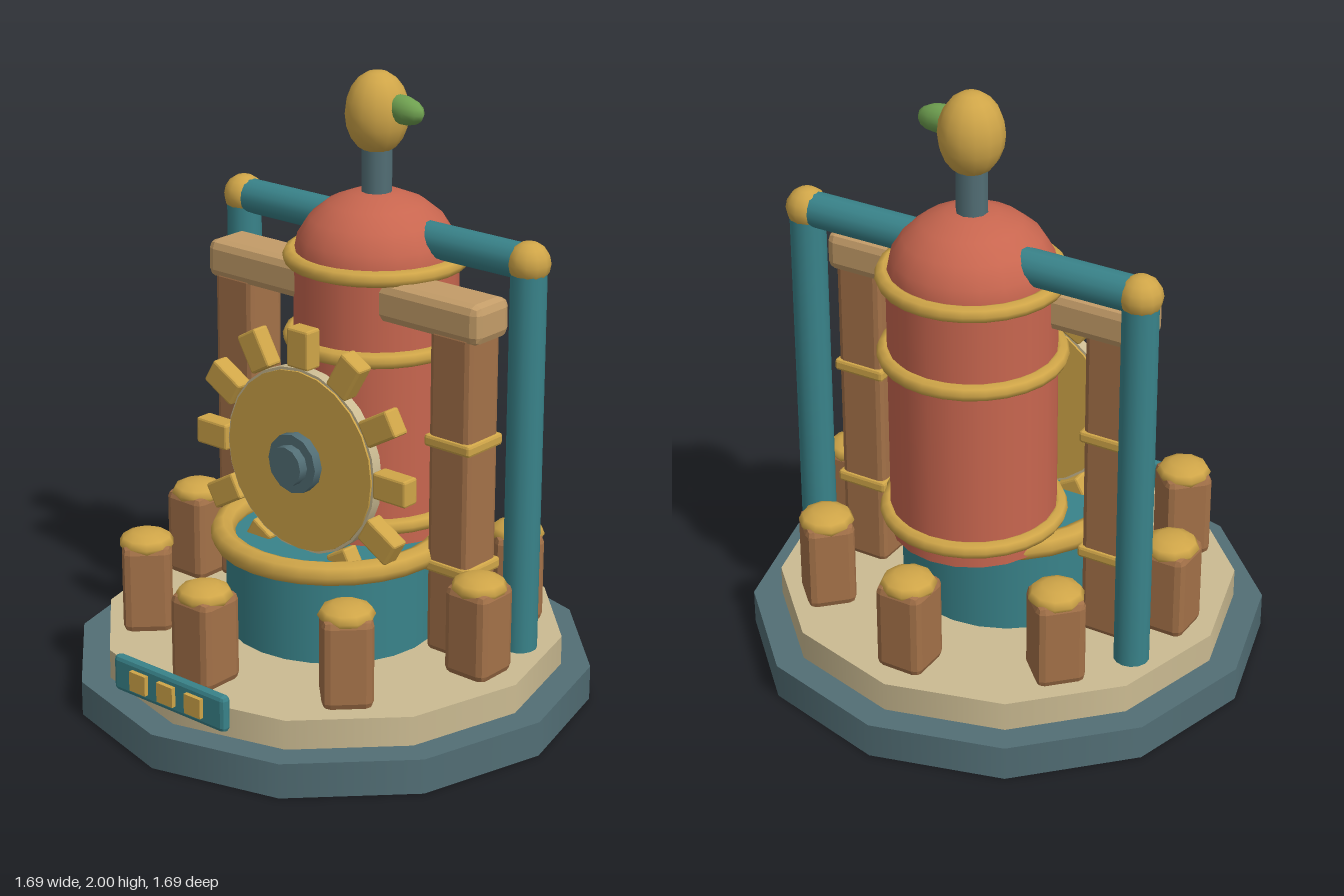
import * as THREE from 'three';
import { RoundedBoxGeometry } from 'three/addons/geometries/RoundedBoxGeometry.js';

const mat = (name, color) => {
  const m = new THREE.MeshStandardMaterial({ color });
  m.name = name;
  return m;
};

export function createModel() {
  const gold = mat('gold', 0xcfa548), beige = mat('beige', 0xcbbb92), steel = mat('steel', 0x526e75);
  const teal = mat('teal', 0x39838a), red = mat('red', 0xc8664f), wood = mat('wood', 0xa37148);
  const tan = mat('tan', 0xc39c68), green = mat('green', 0x6fa050);

  const model = new THREE.Group();
  model.name = 'boilerMachine';

  const add = (name, geo, material, x = 0, y = 0, z = 0, parent = model) => {
    const m = new THREE.Mesh(geo, material);
    m.name = name;
    m.position.set(x, y, z);
    parent.add(m);
    return m;
  };
  // Upright cylinder between two heights
  const column = (name, r, y0, y1, sides, material, x = 0, z = 0) =>
    add(name, new THREE.CylinderGeometry(r, r, y1 - y0, sides), material, x, (y0 + y1) / 2, z);
  // Box with chamfered edges and flat faces
  const block = (w, h, d, c) => {
    const g = new RoundedBoxGeometry(w, h, d, 1, c);
    g.computeVertexNormals();
    return g;
  };
  // Horizontal ring
  const ring = (name, R, t, y, z) => {
    const m = add(name, new THREE.TorusGeometry(R, t, 8, 28), gold, 0, y, z);
    m.rotation.x = Math.PI / 2;
    return m;
  };

  // Stepped base
  column('baseLower', 0.845, 0, 0.115, 12, steel);
  column('baseUpper', 0.75, 0.115, 0.212, 12, beige);

  // Drum with rim
  column('drum', 0.345, 0.21, 0.51, 24, teal);
  ring('drumRim', 0.355, 0.04, 0.525, 0);

  // Boiler with domed top and bands
  const bz = -0.21;
  column('boiler', 0.265, 0.51, 1.42, 20, red, 0, bz);
  const dome = add('boilerDome', new THREE.SphereGeometry(0.265, 20, 5, 0, Math.PI * 2, 0, Math.PI / 2), red, 0, 1.405, bz);
  dome.scale.y = 0.81;
  for (const y of [0.58, 1.14, 1.405]) ring('boilerBand', 0.272, 0.027, y, bz);

  // Chimney with bulb and spout
  column('chimney', 0.05, 1.58, 1.78, 10, steel, 0, bz);
  add('bulb', new THREE.SphereGeometry(0.103, 14, 10), gold, 0, 1.866, bz).scale.y = 1.3;
  const spout = add('spout', new THREE.SphereGeometry(0.048, 10, 8), green, 0.105, 1.89, bz);
  spout.scale.set(1.7, 0.95, 0.85);
  spout.rotation.z = -0.1;

  // Crossbeam, tall posts and pipe frame
  add('crossbeam', block(1.12, 0.13, 0.17, 0.03), tan, 0, 1.325, -0.1);
  const pz = -0.23, px = 0.588, py = 1.49;
  for (const s of [-1, 1]) {
    add('tallPost', block(0.16, 1.08, 0.155, 0.02), wood, s * 0.45, 0.75, -0.098);
    for (const y of [0.505, 0.922])
      add('postStrap', block(0.18, 0.04, 0.172, 0.01), gold, s * 0.45, y, -0.098);
    column('uprightPipe', 0.057, 0.21, py, 14, teal, s * px, pz);
    add('pipeJoint', new THREE.SphereGeometry(0.068, 12, 8), gold, s * px, py, pz);
  }
  const crossPipe = column('crossPipe', 0.057, 0, px * 2, 14, teal);
  crossPipe.position.set(0, py, pz);
  crossPipe.rotation.z = Math.PI / 2;

  // Ring of short posts with caps
  for (let i = 0; i < 8; i++) {
    const a = i * Math.PI / 4;
    const post = new THREE.Group();
    post.name = 'shortPost';
    post.position.set(Math.sin(a) * 0.6, 0, Math.cos(a) * 0.6);
    post.rotation.y = a;
    add('postShaft', block(0.16, 0.3, 0.16, 0.026), wood, 0, 0.36, 0, post);
    add('postCap', new THREE.SphereGeometry(0.09, 10, 6), gold, 0, 0.502, 0, post).scale.y = 0.46;
    model.add(post);
  }

  // Gear wheel facing forward
  const gear = new THREE.Group();
  gear.name = 'gear';
  gear.position.set(0, 0.81, 0.14);
  model.add(gear);
  const disc = (name, r, depth, sides, material) => {
    const m = add(name, new THREE.CylinderGeometry(r, r, depth, sides), material, 0, 0, 0, gear);
    m.rotation.x = Math.PI / 2;
  };
  disc('gearDisc', 0.298, 0.05, 24, gold);
  disc('gearRim', 0.307, 0.036, 24, beige);
  disc('gearHub', 0.098, 0.115, 12, steel);
  disc('gearAxle', 0.065, 0.18, 12, steel);
  for (let i = 0; i < 12; i++) {
    const a = i * Math.PI / 6;
    const tooth = add('gearTooth', block(0.088, 0.13, 0.062, 0.008), gold, Math.sin(a) * 0.373, Math.cos(a) * 0.373, 0, gear);
    tooth.rotation.z = -a;
  }

  // Front plaque with three studs
  add('plaque', block(0.47, 0.12, 0.036, 0.015), teal, 0, 0.225, 0.753);
  for (const x of [-0.117, 0, 0.117])
    add('plaqueStud', new THREE.BoxGeometry(0.067, 0.065, 0.04), gold, x, 0.226, 0.766);

  return model;
}
